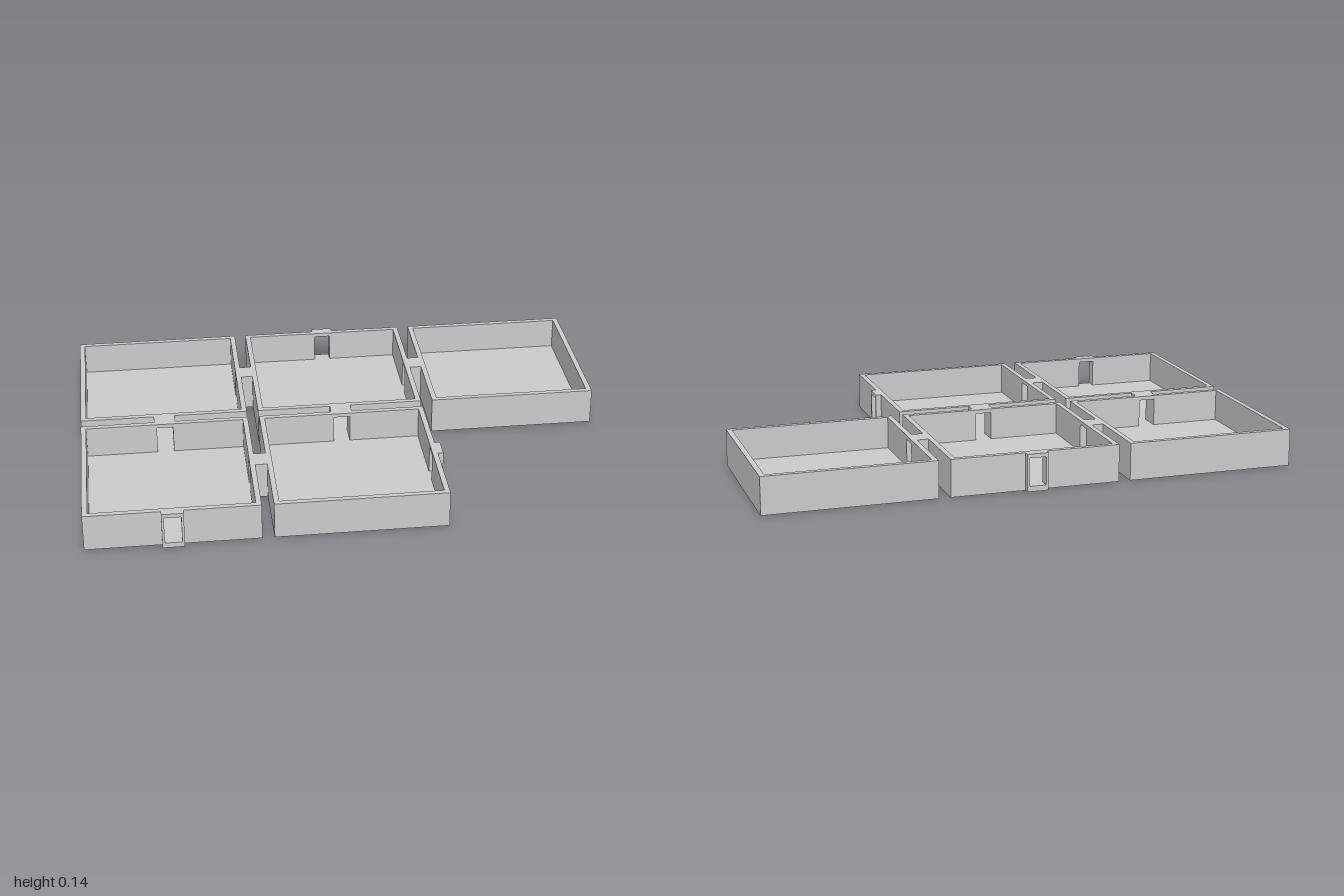
import * as THREE from 'three';

const SIZE = 0.637, PITCH = 0.681, ROW = 0.34, HEIGHT = 0.14, WALL = 0.02;
const GAP = PITCH - SIZE, STUB = 0.021;
const DOOR_W = 0.062, DOOR_BOTTOM = 0.02, DOOR_TOP = 0.125, FRAME_W = 0.08;
const material = new THREE.MeshStandardMaterial({ color: 0xcccccc, flatShading: true });

// Upright slab in the xy plane, growing along +z, with an optional doorway
function panel(width, depth, hasDoor, name) {
  const w = width / 2, d = DOOR_W / 2;
  const rect = (P, x, y0, y1) => {
    const p = new P();
    p.moveTo(-x, y0).lineTo(x, y0).lineTo(x, y1).lineTo(-x, y1).closePath();
    return p;
  };
  const shape = rect(THREE.Shape, w, 0, HEIGHT);
  if (hasDoor) shape.holes.push(rect(THREE.Path, d, DOOR_BOTTOM, DOOR_TOP));
  const mesh = new THREE.Mesh(
    new THREE.ExtrudeGeometry(shape, { depth, bevelEnabled: false }), material);
  mesh.name = name;
  return mesh;
}

// Unit directions of the four sides
const SIDES = { front: [0, 1], back: [0, -1], left: [1, 0], right: [-1, 0] };

// Turns a panel outward and puts its inner face at a distance from a centre
function place(mesh, side, distance, cx = 0, cz = 0) {
  const [dx, dz] = SIDES[side];
  mesh.rotation.y = Math.atan2(dx, dz);
  mesh.position.set(cx + dx * distance, 0, cz + dz * distance);
  return mesh;
}

// Open room: floor plus four walls, with doorways on the listed sides
function tray(x, z, doors) {
  const group = new THREE.Group();
  group.name = 'room';
  group.position.set(x, 0, z);
  const inner = SIZE - 2 * WALL;
  const floor = new THREE.Mesh(new THREE.BoxGeometry(inner, WALL, inner), material);
  floor.name = 'floor';
  floor.position.y = WALL / 2;
  group.add(floor);
  for (const side of Object.keys(SIDES)) {
    const width = SIDES[side][0] ? inner : SIZE;
    const wall = panel(width, WALL, doors.includes(side), side + 'Wall');
    group.add(place(wall, side, SIZE / 2 - WALL));
  }
  return group;
}

export function createModel() {
  const model = new THREE.Group();
  model.name = 'connectedRooms';

  // Rooms: column, row, doorway sides
  const rooms = [
    [-1, -1, ['left', 'front']],
    [0, -1, ['left', 'right', 'front', 'back']],
    [1, -1, ['right']],
    [-1, 1, ['left', 'front', 'back']],
    [0, 1, ['left', 'right', 'back']],
  ];
  for (const [c, r, doors] of rooms) model.add(tray(c * PITCH, r * ROW, doors));

  // Hollow passages between rooms, and short outer doorways
  const passages = [
    [-1, -1, 'left', GAP], [0, -1, 'left', GAP], [-1, 1, 'left', GAP],
    [-1, -1, 'front', GAP], [0, -1, 'front', GAP],
    [0, -1, 'back', STUB], [-1, 1, 'front', STUB], [0, 1, 'left', STUB],
  ];
  for (const [c, r, side, length] of passages) {
    const name = length === STUB ? 'outerDoorway' : 'passage';
    // Passages along z fill the space left between the two rows
    const depth = length === GAP && side === 'front' ? 2 * ROW - SIZE : length;
    model.add(place(panel(FRAME_W, depth, true, name), side, SIZE / 2, c * PITCH, r * ROW));
  }
  return model;
}
